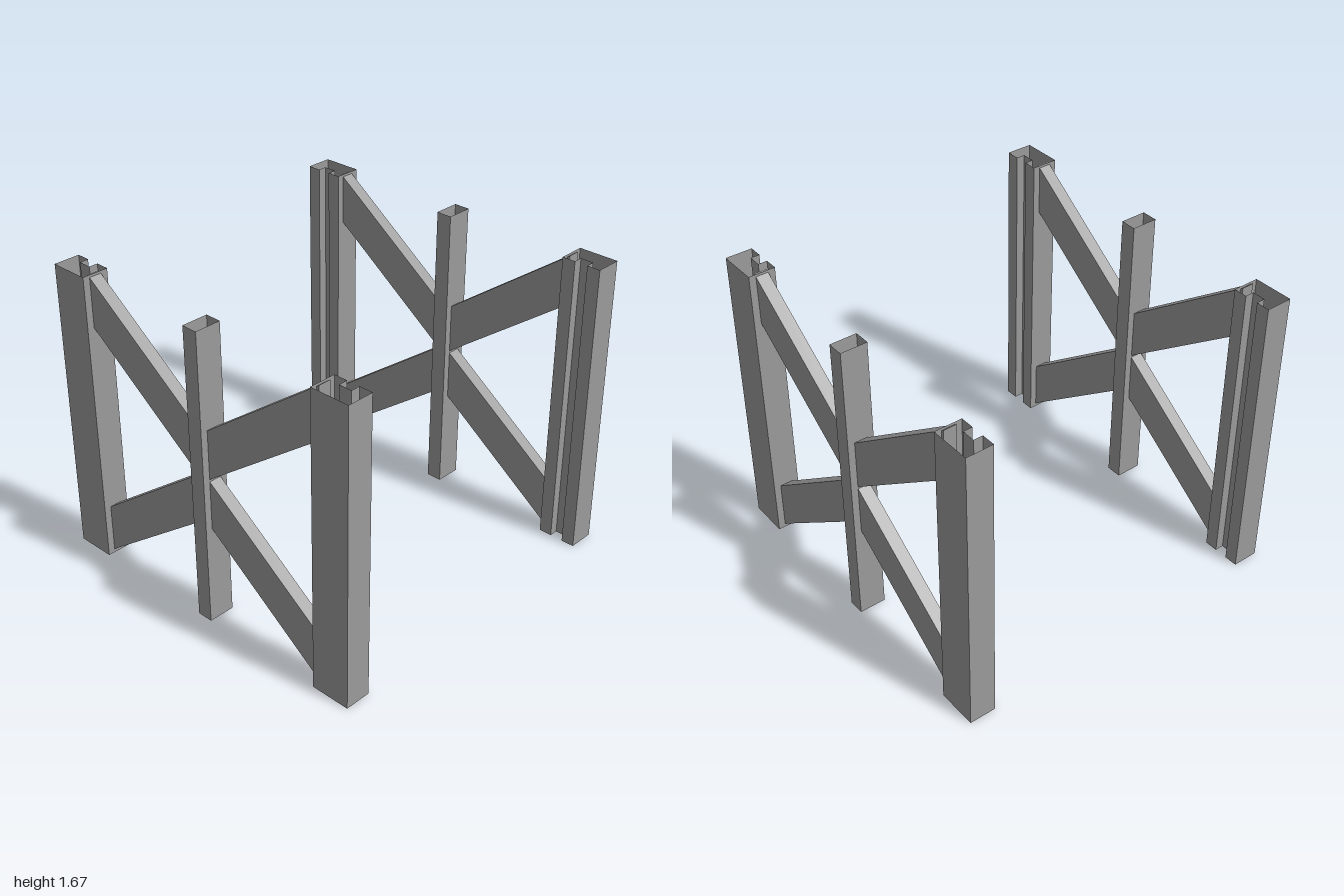
import * as THREE from 'three';
import { mergeGeometries } from 'three/addons/utils/BufferGeometryUtils.js';

const HEIGHT = 1.667;
const BRACE_MID = 0.837; // height where the braces meet
const Z_MID = 0.903; // centre plane of each frame

// Open-ended thin tube that follows a closed plan outline of [x, z] points
function tubeGeometry(points) {
  const walls = points.map(([ax, az], i) => {
    const [bx, bz] = points[(i + 1) % points.length];
    const wall = new THREE.PlaneGeometry(Math.hypot(bx - ax, bz - az), HEIGHT);
    wall.rotateY(Math.atan2(az - bz, bx - ax));
    return wall.translate((ax + bx) / 2, HEIGHT / 2, (az + bz) / 2);
  });
  return mergeGeometries(walls);
}

// Sloping bar with upright ends, running from the centre bar to a post
function braceGeometry(side, up) {
  const corners = [[0.035, -0.001], [0.79, 0.549], [0.79, 0.827], [0.035, 0.277]];
  const shape = new THREE.Shape(
    corners.map(([x, y]) => new THREE.Vector2(side * x, BRACE_MID + up * y)));
  const geometry = new THREE.ExtrudeGeometry(shape, { depth: 0.07, bevelEnabled: false });
  return geometry.translate(0, 0, Z_MID - 0.035);
}

export function createModel() {
  const model = new THREE.Group();
  model.name = 'braceFrames';
  const material = new THREE.MeshStandardMaterial({
    color: 0x9b9b9b, flatShading: true, side: THREE.DoubleSide,
  });

  function add(group, name, geometry) {
    const mesh = new THREE.Mesh(geometry, material);
    mesh.name = name;
    group.add(mesh);
  }

  // Hollow post: flat outside, with a groove facing the opposite frame
  const postOutline = [
    [-0.037, 0.878], [-0.037, 0.828], [-0.1125, 0.828], [-0.1125, 0.977],
    [0.1125, 0.977], [0.1125, 0.828], [0.037, 0.828], [0.037, 0.878],
  ];
  // Hollow rectangular bar
  const barOutline = [[-0.045, 0.828], [-0.045, 0.977], [0.045, 0.977], [0.045, 0.828]];

  for (const [name, turn] of [['frontFrame', 0], ['backFrame', Math.PI]]) {
    const frame = new THREE.Group();
    frame.name = name;
    frame.rotation.y = turn;

    add(frame, 'centreBar', tubeGeometry(barOutline));
    for (const side of [-1, 1]) {
      add(frame, 'post', tubeGeometry(postOutline).translate(side * 0.8875, 0, 0));
      add(frame, 'upperBrace', braceGeometry(side, 1));
      add(frame, 'lowerBrace', braceGeometry(side, -1));
    }
    model.add(frame);
  }
  return model;
}
